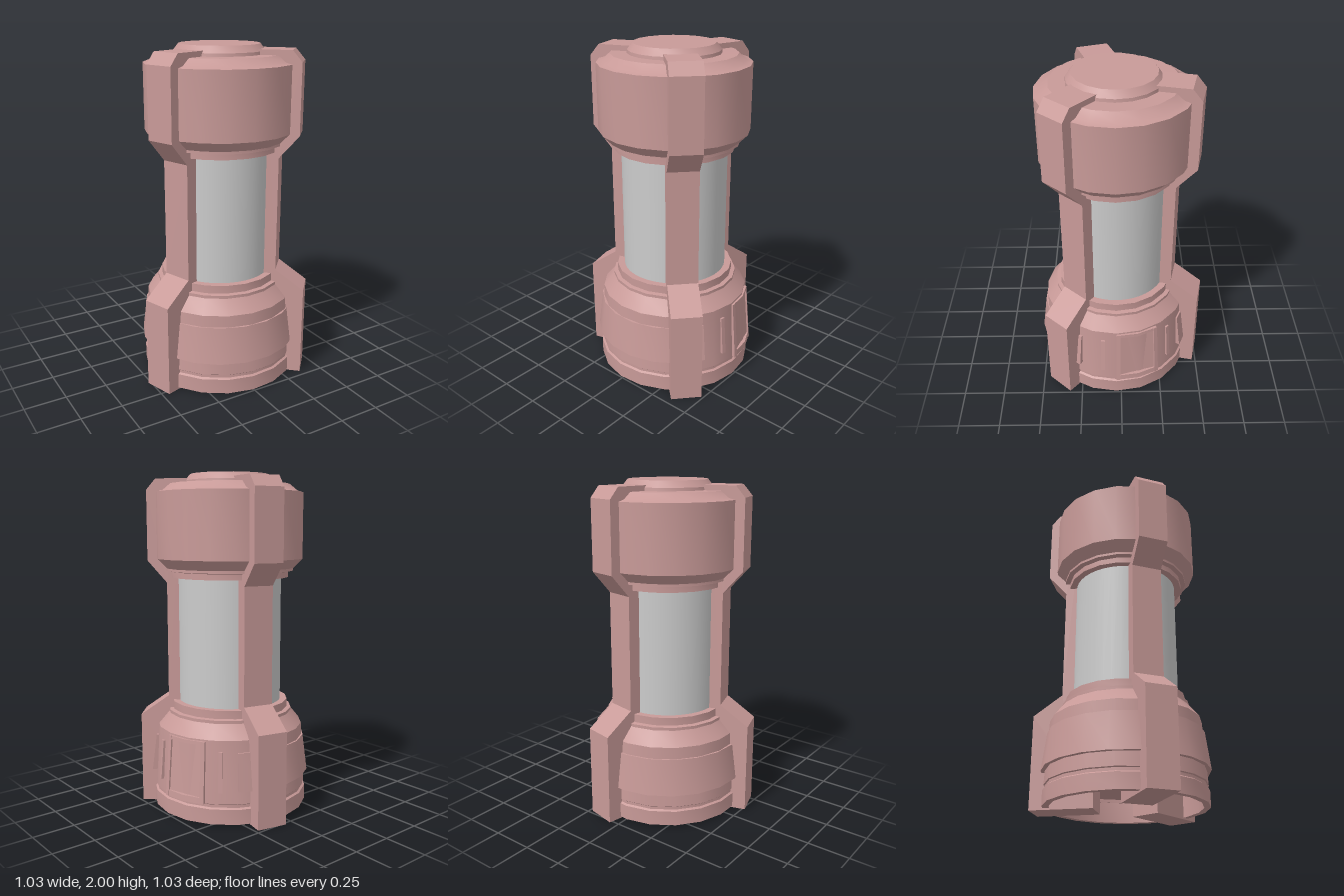
import * as THREE from 'three';
import { mergeGeometries, toCreasedNormals } from 'three/addons/utils/BufferGeometryUtils.js';

const SIDES = 19;
const rad = THREE.MathUtils.degToRad;
const shell = new THREE.MeshStandardMaterial({ color: 0xc89a98, side: THREE.DoubleSide });
const glass = new THREE.MeshStandardMaterial({ color: 0xcccccc });
const points = list => list.map(([x, y]) => new THREE.Vector2(x, y));

export function createModel() {
  const model = new THREE.Group();
  model.name = 'canister';
  const body = new THREE.Group();
  body.name = 'body';
  body.position.set(0.027, 0, 0.03);
  model.add(body);

  const add = (name, geometry, material = shell) => {
    const mesh = new THREE.Mesh(geometry, material);
    mesh.name = name;
    body.add(mesh);
    return mesh;
  };

  // Full turned part with a corner on +x
  const turned = (name, profile) => add(name,
    toCreasedNormals(new THREE.LatheGeometry(points(profile), SIDES, Math.PI / 2), 0.45));

  // Closed arc of a profile; angles in degrees from +x towards +z
  const arc = (name, profile, from, to) => {
    const pts = points(profile);
    const start = rad(90 - to), sweep = rad(to - from);
    const steps = Math.max(1, Math.round((to - from) * SIDES / 360));
    const parts = [new THREE.LatheGeometry([...pts, pts[0]], steps, start, sweep)];
    for (const phi of [start, start + sweep]) {
      parts.push(new THREE.ShapeGeometry(new THREE.Shape(pts)).rotateY(phi - Math.PI / 2));
    }
    return add(name, toCreasedNormals(mergeGeometries(parts), 0.45));
  };

  // Base, hollow underneath
  turned('base', [
    [0, 0.15], [0.435, 0.15], [0.435, 0.01], [0.472, 0.01], [0.472, 0.1], [0.46, 0.108],
    [0.46, 0.125], [0.466, 0.13], [0.445, 0.5], [0.38, 0.58], [0.38, 0.598],
    [0.355, 0.602], [0.355, 0.65], [0.3, 0.65],
  ]);

  // Window cylinder
  add('windowCylinder', new THREE.CylinderGeometry(0.312, 0.312, 0.8, 40, 1, true)
    .translate(0, 1.02, 0), glass);

  // Top drum and cap
  turned('topDrum', [
    [0.3, 1.398], [0.355, 1.398], [0.355, 1.432], [0.385, 1.437], [0.385, 1.452], [0.44, 1.508],
    [0.44, 1.895], [0.405, 1.905], [0.36, 1.943], [0.2, 1.945],
  ]);
  turned('cap', [[0.268, 1.94], [0.265, 1.962], [0.235, 2], [0, 2]]);

  // Raised band round the base, left open at the control panel
  arc('baseBand', [[0.44, 0.21], [0.486, 0.21], [0.458, 0.43], [0.43, 0.43]], 28, 303);

  // Control panel: frame, inset plate and a slot on each side
  const strip = (name, y0, y1, lift, from, to) => {
    const r = y => 0.476 + lift - 0.08 * (y - 0.13);
    return arc(name, [[0.43, y0], [r(y0), y0], [r(y1), y1], [0.43, y1]], from, to);
  };
  strip('panelPlate', 0.15, 0.48, 0, -30, -3);
  strip('panelFrameBottom', 0.13, 0.165, 0.01, -33, 0);
  strip('panelFrameTop', 0.47, 0.49, 0.01, -33, 0);
  strip('panelFrameSide', 0.13, 0.49, 0.01, -33, -30);
  strip('panelFrameSide', 0.13, 0.49, 0.01, -3, 0);
  strip('panelSlot', 0.2, 0.435, 0.003, 9, 12);
  strip('panelSlot', 0.2, 0.435, 0.003, -46, -43);

  // Three struts clamping base, window and drum
  const strutShape = new THREE.Shape(points([
    [0.17, 0], [0.54, 0], [0.54, 0.553], [0.368, 0.675], [0.368, 1.365], [0.483, 1.497],
    [0.483, 1.908], [0.428, 1.973], [0.225, 1.975], [0.225, 1.9], [0.28, 1.9],
    [0.28, 0.2], [0.17, 0.2],
  ]));
  const strut = new THREE.ExtrudeGeometry(strutShape, { depth: 0.182, bevelEnabled: false })
    .translate(0, 0, -0.091);
  for (let i = 0; i < 3; i++) {
    add('strut', strut).rotation.y = -rad(42.4 + 120 * i);
  }
  return model;
}
